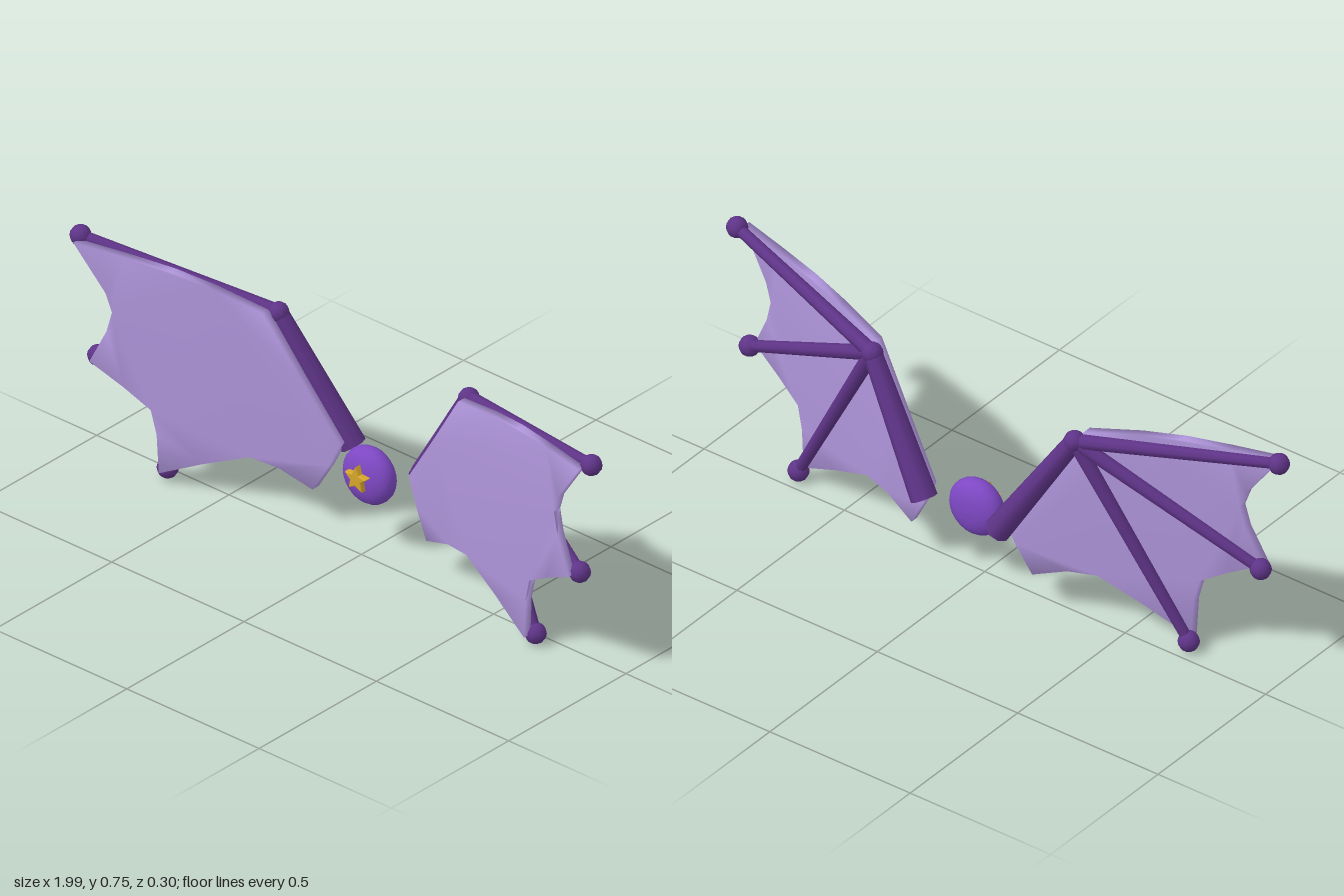
import * as THREE from 'three';
import { mergeVertices } from 'three/addons/utils/BufferGeometryUtils.js';

const mat = (name, color) => {
  const m = new THREE.MeshStandardMaterial({ color });
  m.name = name;
  return m;
};

export function createModel() {
  const bone = mat('dark purple bone', 0x5f3488);
  const skin = mat('lavender membrane', 0xb096dc);
  const gemMat = mat('violet gem', 0x7e48c4);
  const gold = mat('gold', 0xd6a62c);

  const model = new THREE.Group();
  model.name = 'wingedBrooch';

  const add = (parent, name, geometry, material) => {
    const mesh = new THREE.Mesh(geometry, material);
    mesh.name = name;
    parent.add(mesh);
    return mesh;
  };

  // Tapered rod from a to b
  const rod = (parent, name, a, b, ra, rb, sides = 8) => {
    const dir = b.clone().sub(a);
    const mesh = add(parent, name, new THREE.CylinderGeometry(rb, ra, dir.length(), sides), bone);
    mesh.position.copy(a).add(b).multiplyScalar(0.5);
    mesh.quaternion.setFromUnitVectors(new THREE.Vector3(0, 1, 0), dir.normalize());
  };

  const knob = (parent, name, p, r) =>
    add(parent, name, new THREE.SphereGeometry(r, 10, 8), bone).position.copy(p);

  // Membrane outline: top edge, arm edge, inner edge, then the three scallops
  const outline = [
    [0.955, 0.718], [0.8, 0.713], [0.66, 0.705], [0.53, 0.686], [0.37, 0.65],
    [0.25, 0.465], [0.13, 0.285], [0.165, 0.205], [0.215, 0.115],
    [0.32, 0.156], [0.41, 0.166], [0.55, 0.105], [0.69, 0.035],
    [0.697, 0.16], [0.715, 0.235], [0.8, 0.287], [0.905, 0.342],
    [0.852, 0.455], [0.835, 0.522], [0.855, 0.58],
  ];

  // Thin slab swept forward towards the wing tip, with smooth normals
  const membraneGeometry = (s) => {
    const shape = new THREE.Shape(outline.map(([x, y]) => new THREE.Vector2(s * x, y)));
    let g = new THREE.ExtrudeGeometry(shape, { depth: 0.027, bevelEnabled: false });
    const p = g.attributes.position;
    for (let i = 0; i < p.count; i++) {
      p.setZ(i, p.getZ(i) - 0.1145 + 0.25 * Math.abs(p.getX(i)));
    }
    g.deleteAttribute('normal');
    g.deleteAttribute('uv');
    g = mergeVertices(g);
    g.computeVertexNormals();
    return g;
  };

  for (const [side, s] of [['left', 1], ['right', -1]]) {
    const wing = new THREE.Group();
    wing.name = side + 'Wing';
    model.add(wing);
    const v = (x, y, z) => new THREE.Vector3(s * x, y, z);

    // Arm and elbow
    const elbow = v(0.36, 0.632, -0.053);
    rod(wing, 'armBone', v(0.13, 0.26, -0.112), elbow, 0.04, 0.028);
    knob(wing, 'elbow', elbow, 0.032);

    // Fingers with round tips
    [[0.965, 0.72, 0.108], [0.91, 0.342, 0.095], [0.695, 0.033, 0.041]].forEach((t, i) => {
      const tip = v(...t);
      rod(wing, 'fingerBone' + (i + 1), elbow, tip, 0.023, 0.017);
      knob(wing, 'fingerTip' + (i + 1), tip, 0.032);
    });

    add(wing, 'membrane', membraneGeometry(s), skin);
  }

  // Rounded gem lying between the wings
  const profile = [];
  for (let i = 0; i <= 12; i++) {
    const a = -Math.PI / 2 + (i / 12) * Math.PI;
    const y = Math.sin(a);
    profile.push(new THREE.Vector2(
      0.09 * Math.pow(Math.max(0, Math.cos(a)), 0.85),
      0.048 * Math.sign(y) * Math.pow(Math.abs(y), 0.9)));
  }
  const gem = add(model, 'gem', new THREE.LatheGeometry(profile, 24).rotateX(Math.PI / 2), gemMat);
  gem.position.set(0, 0.247, -0.036);

  // Five-pointed star on the gem's front
  const star = new THREE.Shape();
  for (let i = 0; i < 10; i++) {
    const a = Math.PI / 2 + (i * Math.PI) / 5;
    const r = i % 2 ? 0.017 : 0.036;
    star[i ? 'lineTo' : 'moveTo'](r * Math.cos(a), r * Math.sin(a));
  }
  star.closePath();
  const starMesh = add(model, 'star', new THREE.ExtrudeGeometry(star, {
    depth: 0.018, bevelEnabled: true, bevelSize: 0.004, bevelThickness: 0.005, bevelSegments: 2,
  }), gold);
  starMesh.position.set(0, 0.257, 0.005);

  return model;
}
